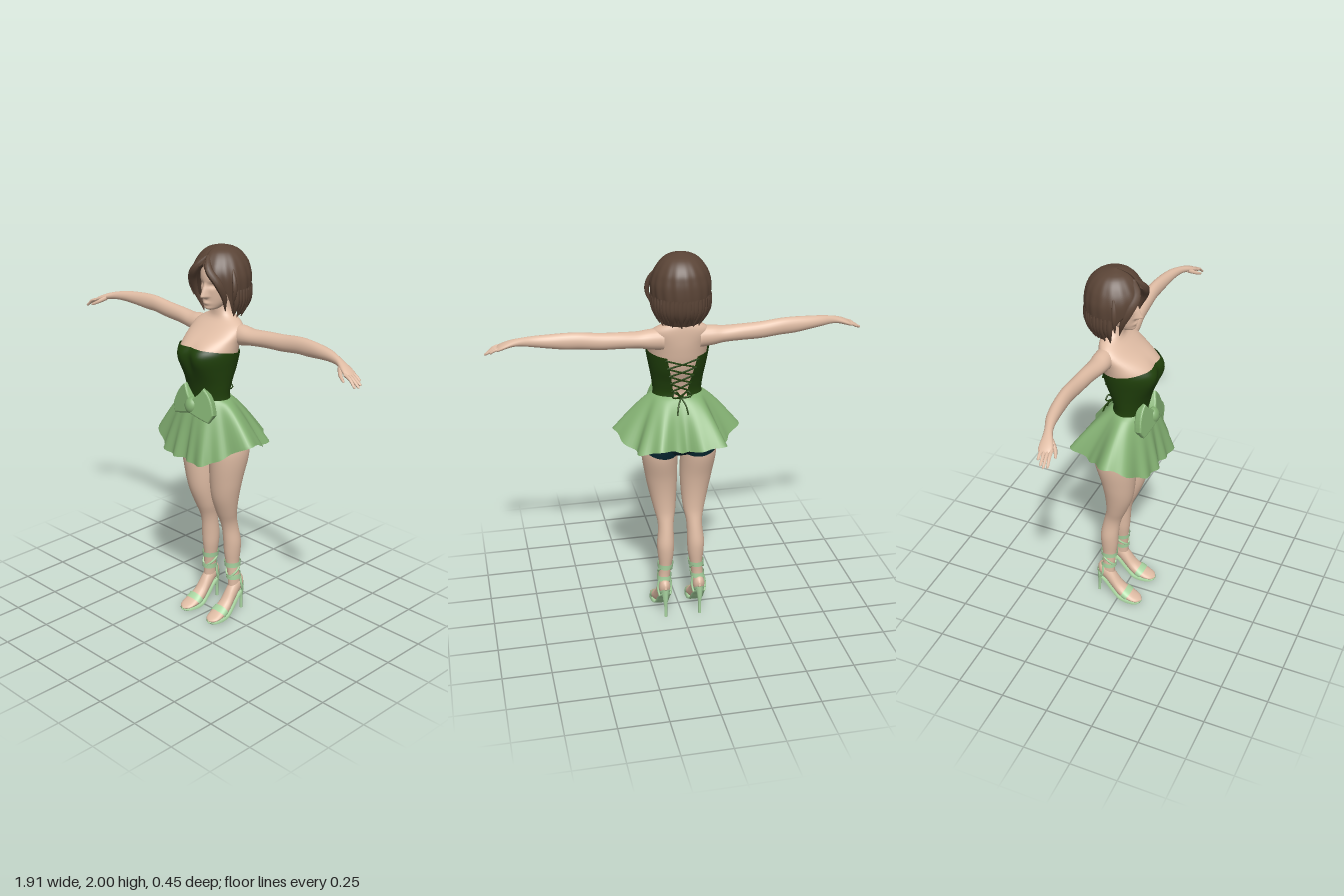
import * as THREE from 'three';
import { mergeVertices } from 'three/addons/utils/BufferGeometryUtils.js';

const mat = (name, color) => new THREE.MeshStandardMaterial({ name, color, side: THREE.DoubleSide });
const skin = mat('skin', 0xdfbca4), hairBrown = mat('hair brown', 0x5a4436), bodiceGreen = mat('bodice green', 0x20400b);
const skirtGreen = mat('skirt green', 0x83b072), teal = mat('dark teal', 0x04232b), mint = mat('shoe mint', 0xaad6a2);

const { sin, cos, PI, max, abs, sqrt } = Math;
const V = (x, y, z) => new THREE.Vector3(x, y, z);
const gauss = (d, w) => Math.exp(-d * d / (w * w));
const mix = (a, b, t) => a + (b - a) * t;

// Smooth interpolation of table rows, keyed on the first column
function sample(rows, k) {
  let i = 0;
  while (i < rows.length - 2 && k > rows[i + 1][0]) i++;
  const slope = (j, c) => {
    const p = rows[max(0, j - 1)], n = rows[Math.min(rows.length - 1, j + 1)];
    return (n[c] - p[c]) / (n[0] - p[0]);
  };
  const a = rows[i], b = rows[i + 1], h = b[0] - a[0], t = THREE.MathUtils.clamp((k - a[0]) / h, 0, 1);
  return a.map((v, c) => c === 0 ? k : v * (1 + 2 * t) * (1 - t) ** 2 + slope(i, c) * h * t * (1 - t) ** 2
    + b[c] * t * t * (3 - 2 * t) + slope(i + 1, c) * h * t * t * (t - 1));
}

// Grid surface from a function of u and v, both 0 to 1
function surf(name, material, nu, nv, fn) {
  const pos = [], idx = [];
  for (let j = 0; j <= nv; j++) for (let i = 0; i <= nu; i++) pos.push(...fn(i / nu, j / nv).toArray());
  for (let j = 0; j < nv; j++) for (let i = 0; i < nu; i++) {
    const a = j * (nu + 1) + i, b = a + nu + 1;
    idx.push(a, a + 1, b + 1, a, b + 1, b);
  }
  let g = new THREE.BufferGeometry();
  g.setAttribute('position', new THREE.Float32BufferAttribute(pos, 3));
  g.setIndex(idx);
  g = mergeVertices(g, 1e-5);
  g.computeVertexNormals();
  return named(name, new THREE.Mesh(g, material));
}
const named = (name, o) => { o.name = name; return o; };

// Point on an upright body section: rows are [y, centre x, radius x, front z, back z]
function ring(rows, y, a, off = 0) {
  const [, cx, rx, zf, zb] = sample(rows, y);
  return V(cx + (rx + off) * sin(a), y, (zf + zb) / 2 + ((zf - zb) / 2 + off) * cos(a));
}
const loft = (name, material, rows, y0, y1, nv, off = 0) =>
  surf(name, material, 32, nv, (u, v) => ring(rows, mix(y0, y1, v), u * 2 * PI, off));

// Tube whose radius follows a rule along its path
function strand(name, material, pts, radius, n = 12, sides = 8) {
  const curve = new THREE.CatmullRomCurve3(pts), g = new THREE.TubeGeometry(curve, n, 1, sides), p = g.attributes.position;
  for (let i = 0; i < p.count; i++) {
    const t = Math.floor(i / (sides + 1)) / n, c = curve.getPointAt(t);
    const q = V(0, 0, 0).fromBufferAttribute(p, i).sub(c).multiplyScalar(radius(t)).add(c);
    p.setXYZ(i, q.x, q.y, q.z);
  }
  g.computeVertexNormals();
  return named(name, new THREE.Mesh(g, material));
}
const even = r => () => r;
const finger = (r0, r1) => t => t > 0.99 ? 0.001 : mix(r0, r1, t);

const TORSO = [[1.02, 0, 0.175, 0.1, -0.12], [1.15, 0, 0.145, 0.105, -0.085], [1.25, 0, 0.117, 0.108, -0.045],
  [1.32, 0, 0.122, 0.122, -0.058], [1.4, 0, 0.136, 0.15, -0.092], [1.46, 0, 0.147, 0.166, -0.108], [1.5, 0, 0.151, 0.162, -0.115],
  [1.54, 0, 0.152, 0.125, -0.12], [1.58, 0, 0.155, 0.065, -0.122], [1.61, 0, 0.145, 0.025, -0.122], [1.635, 0, 0.11, -0.005, -0.12],
  [1.655, 0, 0.072, -0.012, -0.115], [1.69, 0, 0.048, -0.012, -0.108], [1.77, 0, 0.046, -0.01, -0.11]];
const HIPS = [[0.925, 0, 0.03, 0.03, -0.05], [0.945, 0, 0.1, 0.07, -0.1], [0.98, 0, 0.175, 0.1, -0.13], [1.05, 0, 0.188, 0.108, -0.132],
  [1.15, 0, 0.15, 0.11, -0.09], [1.22, 0, 0.122, 0.108, -0.055]];
const LEG = [[0.15, 0.093, 0.029, -0.03, -0.11], [0.22, 0.09, 0.03, -0.03, -0.096], [0.29, 0.083, 0.033, -0.025, -0.1],
  [0.36, 0.081, 0.042, -0.016, -0.108], [0.42, 0.081, 0.045, -0.012, -0.11], [0.5, 0.077, 0.041, -0.004, -0.096],
  [0.55, 0.076, 0.044, 0.01, -0.085], [0.6, 0.077, 0.055, 0.032, -0.076], [0.7, 0.084, 0.071, 0.068, -0.078],
  [0.8, 0.092, 0.083, 0.085, -0.092], [0.95, 0.103, 0.092, 0.1, -0.128], [1.06, 0.1, 0.08, 0.1, -0.12]];
const HEAD = [[1.684, 0, 0.004, 0.022, 0.01], [1.692, 0, 0.03, 0.041, -0.03], [1.71, 0, 0.049, 0.047, -0.06], [1.74, 0, 0.067, 0.05, -0.1],
  [1.78, 0, 0.079, 0.054, -0.14], [1.82, 0, 0.085, 0.056, -0.16], [1.87, 0, 0.088, 0.056, -0.17], [1.92, 0, 0.08, 0.04, -0.16],
  [1.96, 0, 0.045, 0, -0.11]];
// Last column: half angle of the opening for the face
const HAIR = [[1.655, 0, 0.1, 0.04, -0.155, 1.75], [1.7, 0, 0.124, 0.06, -0.18, 1.4], [1.75, 0, 0.137, 0.075, -0.198, 1.17],
  [1.8, 0, 0.145, 0.085, -0.205, 0.92], [1.85, 0, 0.147, 0.088, -0.205, 0.6], [1.885, 0, 0.14, 0.085, -0.2, 0.33],
  [1.92, 0, 0.126, 0.07, -0.19, 0], [1.96, 0, 0.098, 0.04, -0.16, 0], [1.985, 0, 0.062, 0.005, -0.12, 0], [2, 0, 0.002, -0.053, -0.057, 0]];
// Skirt hem: [angle from the front, radius, height]
const HEM = [[0, 0.19, 0.94], [0.52, 0.24, 0.94], [1.04, 0.25, 0.99], [1.42, 0.33, 1.06], [1.95, 0.27, 1], [2.23, 0.28, 1], [2.64, 0.25, 1.03],
  [3.14, 0.185, 1], [3.85, 0.29, 1.03], [4.25, 0.24, 1], [4.84, 0.32, 1.05], [5.47, 0.25, 0.95], [2 * PI, 0.19, 0.94]];
// [x, y, z, radius y, radius z]
const ARM = [[0.09, 1.567, -0.06, 0.055, 0.05], [0.16, 1.57, -0.06, 0.05, 0.05], [0.21, 1.572, -0.061, 0.042, 0.046], [0.3, 1.578, -0.07, 0.041, 0.039],
  [0.4, 1.583, -0.075, 0.042, 0.035], [0.5, 1.594, -0.076, 0.042, 0.032], [0.57, 1.596, -0.072, 0.041, 0.031], [0.65, 1.598, -0.063, 0.034, 0.03],
  [0.72, 1.598, -0.05, 0.027, 0.026], [0.78, 1.593, -0.031, 0.02, 0.021], [0.82, 1.584, -0.016, 0.017, 0.026], [0.86, 1.569, -0.004, 0.015, 0.034],
  [0.89, 1.555, 0.002, 0.011, 0.032], [0.902, 1.55, 0.004, 0.003, 0.02]];
// [z, centre x, half width, top y, bottom y]
const FOOT = [[-0.125, 0.092, 0.006, 0.19, 0.165], [-0.11, 0.093, 0.026, 0.215, 0.135], [-0.07, 0.094, 0.032, 0.21, 0.1], [-0.03, 0.095, 0.034, 0.165, 0.052],
  [0.01, 0.096, 0.039, 0.105, 0.017], [0.05, 0.097, 0.044, 0.07, 0.01], [0.09, 0.099, 0.042, 0.045, 0.01], [0.12, 0.1, 0.029, 0.03, 0.01], [0.133, 0.1, 0.004, 0.02, 0.014]];

// Torso point with a modelled bust
function chest(y, a, off) {
  const p = ring(TORSO, y, a, off);
  if (cos(a) > 0) p.z += cos(a) * gauss(y - 1.46, 0.07) * (0.016 * gauss(abs(p.x) - 0.075, 0.045) - 0.012 * gauss(p.x, 0.025));
  return p;
}
function face(u, v) {
  const a = u * 2 * PI, y = mix(1.684, 1.96, v), p = ring(HEAD, y, a), x = p.x;
  if (cos(a) <= 0) return p;
  const nose = y > 1.758 ? max(0, 1 - (y - 1.758) / 0.07) : max(0, 1 - (1.758 - y) / 0.014);
  p.z += 0.036 * nose * gauss(x, 0.008 + 0.007 * nose) - 0.012 * gauss(abs(x) - 0.034, 0.02) * gauss(y - 1.815, 0.014)
    + 0.008 * gauss(x, 0.022) * gauss(y - 1.724, 0.009) + 0.004 * gauss(x, 0.03) * gauss(y - 1.697, 0.01);
  return p;
}
// Closed shell: outer arc, then back along an inner arc
function hairPoint(u, v) {
  const y = mix(1.655, 2, sqrt(v) * 0.35 + v * 0.65), open = max(0, sample(HAIR, y)[5]), outer = u <= 0.7;
  const t = outer ? u / 0.7 : (1 - u) / 0.3, a = mix(open, 2 * PI - open, t), p = ring(HAIR, y, a);
  const s = outer ? 1 + 0.014 * sin(a * 17 + y * 9) * Math.min(1, (2 - y) * 8) : 0.64;
  return V(p.x * s, y - (outer ? 0 : 0.004), -0.058 + (p.z + 0.058) * s);
}
const footPoint = (z, a, off = 0) => {
  const [, cx, w, top, low] = sample(FOOT, z);
  return V(cx - (w + off) * sin(a), (top + low) / 2 + ((top - low) / 2 + off) * cos(a), z);
};

function makeLeg() {
  const g = named('leg', new THREE.Group());
  g.add(loft('legSkin', skin, LEG, 0.15, 1.06, 44));
  g.add(surf('shortsLeg', teal, 32, 5, (u, v) => {
    const a = u * 2 * PI, low = 0.975 + 0.03 * cos(a) + 0.015 * sin(a);
    return ring(LEG, mix(low, 1.05, v), a, 0.006);
  }));
  g.add(surf('foot', skin, 20, 28, (u, v) => footPoint(mix(-0.125, 0.133, v), u * 2 * PI)));
  // Sandal: sole, heel counter, toe strap, stiletto and ankle straps
  g.add(surf('sole', mint, 8, 26, (u, v) => {
    const z = mix(-0.125, 0.133, v), [, cx, w, , low] = sample(FOOT, z), a = u * 2 * PI;
    return V(cx - (w + 0.003) * sin(a), max(0, low - 0.004 + 0.007 * cos(a)), z);
  }));
  g.add(surf('heelCounter', mint, 16, 5, (u, v) => footPoint(mix(-0.125, -0.085, v), mix(0.32, 0.68, u) * 2 * PI, 0.005)));
  g.add(surf('toeStrap', mint, 20, 3, (u, v) => {
    const a = mix(-0.6, 0.6, u) * PI;
    return footPoint(mix(0.045, 0.075, v) - 0.015 * (1 - cos(a)), a, 0.005);
  }));
  g.add(strand('stiletto', mint, [V(0.093, 0.165, -0.11), V(0.093, 0.1, -0.117), V(0.093, 0, -0.121)], t => mix(0.021, 0.008, Math.min(1, t * 1.6))));
  for (const y of [0.278, 0.207]) g.add(loft('ankleStrap', mint, LEG, y, y + 0.028, 2, 0.008));
  for (const s of [-1, 1]) {
    g.add(strand('sideStrap', mint, [V(0.09 + s * 0.03, 0.215, -0.085), V(0.093 + s * 0.036, 0.165, -0.085), V(0.093 + s * 0.03, 0.125, -0.1)], even(0.006)));
    g.add(strand('crossStrap', mint, [0, 0.33, 0.66, 1].map(t => ring(LEG, mix(0.22, 0.29, t), s * mix(0.2, 2.6, t), 0.004)), even(0.006)));
  }
  return g;
}

function makeArm() {
  const g = named('arm', new THREE.Group());
  g.add(surf('armSkin', skin, 24, 56, (u, v) => {
    const [x, y, z, ry, rz] = sample(ARM, mix(0.09, 0.902, v)), a = u * 2 * PI;
    return V(x, y - ry * sin(a), z + rz * cos(a));
  }));
  [[0.027, 0.942, 1.517, 0.04], [0.012, 0.953, 1.518, 0.024], [-0.004, 0.95, 1.526, 0.009], [-0.018, 0.928, 1.537, -0.012]].forEach(([z, tx, ty, tz]) =>
    g.add(strand('finger', skin, [V(0.87, 1.563, z), V(0.905, 1.551, mix(z, tz, 0.5)), V(tx, ty, tz)], finger(0.0095, 0.006))));
  g.add(strand('thumb', skin, [V(0.82, 1.578, 0), V(0.85, 1.556, 0.034), V(0.887, 1.536, 0.053)], finger(0.013, 0.006)));
  return g;
}

function makeBow() {
  const g = named('bow', new THREE.Group()), s = new THREE.Shape();
  s.moveTo(0, 0.025);
  s.quadraticCurveTo(0.035, 0.045, 0.062, 0.09);
  s.quadraticCurveTo(0.11, 0.06, 0.132, -0.02);
  s.lineTo(0.112, -0.058);
  s.quadraticCurveTo(0.06, -0.05, 0, -0.03);
  const geo = new THREE.ExtrudeGeometry(s, { depth: 0.022, bevelThickness: 0.01, bevelSize: 0.008, bevelSegments: 3, curveSegments: 8 });
  for (const side of [1, -1]) {
    const wing = named('bowWing', new THREE.Mesh(geo, skirtGreen)), half = new THREE.Group();
    wing.rotation.y = 0.22;
    half.scale.x = side;
    half.add(wing);
    g.add(half);
  }
  const knot = named('bowKnot', new THREE.Mesh(new THREE.SphereGeometry(1, 20, 14), skirtGreen));
  knot.scale.set(0.036, 0.042, 0.028);
  knot.position.z = 0.016;
  g.add(knot);
  g.position.set(-0.003, 1.215, 0.135);
  g.rotation.x = -0.2;
  return g;
}

export function createModel() {
  const root = named('dancer', new THREE.Group());
  // Body, mirrored limbs
  root.add(surf('torso', skin, 56, 60, (u, v) => chest(mix(1.02, 1.77, v), u * 2 * PI, 0)));
  root.add(surf('head', skin, 80, 64, face));
  root.add(loft('shorts', teal, HIPS, 0.925, 1.22, 18));
  for (const side of [1, -1]) {
    const half = named(side > 0 ? 'leftSide' : 'rightSide', new THREE.Group());
    half.add(makeLeg(), makeArm());
    half.scale.x = side;
    root.add(half);
  }
  // Bodice, open down the back, with crossed lacing
  const gap = t => mix(0.24, 0.5, t);
  root.add(surf('bodice', bodiceGreen, 64, 24, (u, v) => {
    const a = mix(-1, 1, u) * (PI - gap(v)), top = 1.497 + 0.023 * cos(a);
    return chest(mix(1.225, top, v), a, 0.009);
  }));
  const eyelet = (t, side) => chest(mix(1.235, 1.465, t), PI + side * (gap(t) + 0.05), 0.014);
  for (let i = 0; i < 5; i++) for (const s of [1, -1]) {
    const a = eyelet(i / 5, s), b = eyelet((i + 1) / 5, -s), m = a.clone().lerp(b, 0.5);
    m.z -= 0.006;
    root.add(strand('lace', bodiceGreen, [a, m, b], even(0.0045), 6, 6));
  }
  for (const s of [1, -1]) {
    root.add(strand('laceLoop', bodiceGreen, [V(0, 1.25, -0.068), V(s * 0.03, 1.29, -0.085), V(s * 0.05, 1.265, -0.09), V(0, 1.248, -0.07)], even(0.004)));
    root.add(strand('laceTail', bodiceGreen, [V(0, 1.25, -0.068), V(s * 0.018, 1.22, -0.1), V(s * 0.028, 1.175, -0.118)], even(0.004)));
  }
  // Flared skirt with folds
  root.add(surf('skirt', skirtGreen, 120, 20, (u, v) => {
    const a = u * 2 * PI, [, r, low] = sample(HEM, a), w = ring(TORSO, 1.25, a, 0.011), out = v ** 0.88;
    const R = r + 0.01 * sin(a * 15) * v;
    return V(mix(w.x, R * sin(a), out), mix(1.25, low, v ** 1.12), mix(w.z, R * cos(a), out));
  }));
  root.add(makeBow());
  // Bobbed hair: shell, loose ends and side fringe
  root.add(surf('hair', hairBrown, 130, 36, hairPoint));
  for (let i = 0; i < 26; i++) {
    const a = mix(1.35, 2 * PI - 1.35, i / 25), low = 1.662 + 0.014 * sin(i * 2.7);
    const tip = ring(HAIR, low, a + 0.08 * sin(i * 1.9), 0.004);
    root.add(strand('hairEnd', hairBrown, [ring(HAIR, 1.8, a, -0.008), ring(HAIR, 1.73, a, 0), tip], t => 0.002 + 0.014 * sin(PI * mix(0.3, 1, t)), 10, 6));
  }
  for (const s of [1, -1]) {
    root.add(strand('fringe', hairBrown, [V(s * 0.004, 1.955, 0.035), V(s * 0.045, 1.9, 0.072), V(s * 0.088, 1.84, 0.055), V(s * 0.1, 1.77, 0.025), V(s * 0.085, 1.69, 0)],
      t => 0.002 + 0.02 * sin(PI * mix(0.15, 1, t)), 20));
    root.add(strand('sideLock', hairBrown, [V(s * 0.11, 1.92, -0.02), V(s * 0.145, 1.86, 0), V(s * 0.155, 1.8, 0.005), V(s * 0.135, 1.73, 0)],
      t => 0.002 + 0.01 * sin(PI * t), 16));
  }
  return root;
}
